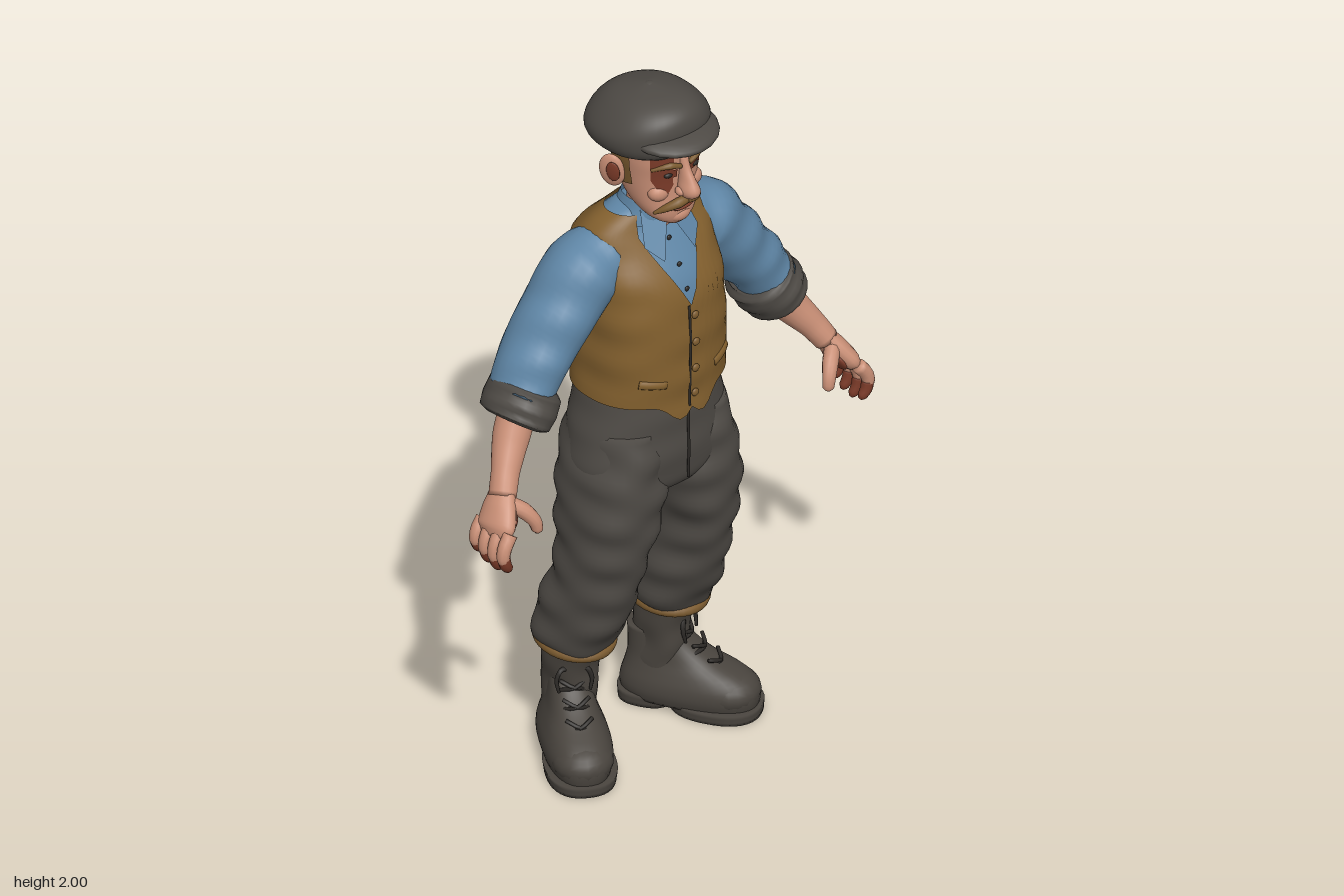
import * as THREE from 'three';
import { mergeVertices } from 'three/addons/utils/BufferGeometryUtils.js';

const mat = (name, color, double) => {
  const m = new THREE.MeshStandardMaterial({ color, side: double ? THREE.DoubleSide : THREE.FrontSide });
  m.name = name;
  return m;
};
const M = {
  skin: mat('skin', 0xc98f76), ruddy: mat('ruddy skin', 0x7a3a28, true),
  vest: mat('mustard wool', 0x83602e, true), shirt: mat('blue cotton', 0x5f86a6, true),
  cloth: mat('charcoal cloth', 0x4e4a45), boot: mat('boot leather', 0x49443e),
  dark: mat('dark trim', 0x2c2926), hair: mat('brown hair', 0x7d5c30, true),
};

// Smooth interpolation of sections [y, rx, rz, cz, cx] at height y
function at(S, y) {
  let k = 0;
  while (k < S.length - 2 && y > S[k + 1][0]) k++;
  const slope = (i, c) => {
    const a = S[Math.max(i - 1, 0)], b = S[Math.min(i + 1, S.length - 1)];
    return (b[c] - a[c]) / (b[0] - a[0]);
  };
  const h = S[k + 1][0] - S[k][0], t = THREE.MathUtils.clamp((y - S[k][0]) / h, 0, 1), u = 1 - t;
  return [1, 2, 3, 4].map((c) => S[k].length <= c ? 0 :
    S[k][c] * (1 + 2 * t) * u * u + S[k + 1][c] * (3 - 2 * t) * t * t
    + h * t * u * (slope(k, c) * u - slope(k + 1, c) * t));
}
// Point on a stacked superellipse body; angle 0 is the front
function surf(S, a, y, off = 0, n = 2.3) {
  const [rx, rz, cz, cx] = at(S, y), s = Math.sin(a), c = Math.cos(a);
  const k = (Math.abs(s) ** n + Math.abs(c) ** n) ** (-1 / n);
  return [cx + (Math.max(rx, 0) + off) * s * k, y, cz + (Math.max(rz, 0) + off) * c * k];
}
// Triangulate rows of points into one smooth surface
function grid(rows) {
  const w = rows[0].length, idx = [];
  for (let i = 0; i < rows.length - 1; i++) for (let j = 0; j < w - 1; j++) {
    const a = i * w + j, b = a + 1, c = a + w, d = c + 1;
    idx.push(a, b, d, a, d, c);
  }
  let g = new THREE.BufferGeometry();
  g.setAttribute('position', new THREE.Float32BufferAttribute(rows.flat(2), 3));
  g.setIndex(idx);
  g = mergeVertices(g, 1e-5);
  g.computeVertexNormals();
  return g;
}
const val = (f, a) => (typeof f === 'function' ? f(a) : f);
// Vertical body, or an open patch of one
function sheet(S, o = {}) {
  const { a0 = -Math.PI, a1 = Math.PI, lo = S[0][0], hi = S[S.length - 1][0], off = 0, n = 2.3,
    cols = 40, count = 28, wob = 0, cap = true } = o;
  const rows = [];
  for (let i = 0; i <= count; i++) {
    const row = [];
    for (let j = 0; j <= cols; j++) {
      const a = a0 + (a1 - a0) * j / cols, y = val(lo, a) + (val(hi, a) - val(lo, a)) * i / count;
      const fold = wob * (Math.sin(3 * a + y * 31) * Math.sin(y * 19 - a) + 0.5 * Math.sin(2 * a - y * 57));
      row.push(surf(S, a, y, off + fold, n));
    }
    rows.push(row);
  }
  if (cap) for (const top of [false, true]) {
    const s = S[top ? S.length - 1 : 0], row = Array(cols + 1).fill([s[4] ?? 0, s[0], s[3]]);
    top ? rows.push(row) : rows.unshift(row);
  }
  return grid(rows);
}
// Round limb along points [x, y, z, radius, depthRadius]
function limb(P, steps = 16, sides = 18, wob = 0) {
  const curve = new THREE.CatmullRomCurve3(P.map((p) => new THREE.Vector3(p[0], p[1], p[2])));
  const Z = new THREE.Vector3(0, 0, 1), rows = [];
  for (let i = 0; i <= steps; i++) {
    const t = i / steps, f = t * (P.length - 1), k = Math.min(Math.floor(f), P.length - 2);
    const C = curve.getPoint(t), T = curve.getTangent(t);
    const N = new THREE.Vector3().crossVectors(Z, T).normalize(), B = new THREE.Vector3().crossVectors(T, N);
    const mix = (c) => THREE.MathUtils.lerp(P[k][c] ?? P[k][3], P[k + 1][c] ?? P[k + 1][3], f - k);
    const row = [];
    for (let j = 0; j <= sides; j++) {
      const a = (j % sides) / sides * Math.PI * 2, w = wob * Math.sin(t * 24 + 2 * Math.sin(a)) * Math.sin(a + 1);
      row.push(C.clone().addScaledVector(N, Math.cos(a) * (mix(3) + w)).addScaledVector(B, Math.sin(a) * (mix(4) + w)).toArray());
    }
    if (i === 0) rows.push(Array(sides + 1).fill(C.toArray()));
    rows.push(row);
    if (i === steps) rows.push(Array(sides + 1).fill(C.toArray()));
  }
  return grid(rows);
}
const ball = (x, y, z, rx, ry, rz) => new THREE.SphereGeometry(1, 20, 14).scale(rx, ry, rz).translate(x, y, z);

function mirrored(g) {
  const m = g.clone().scale(-1, 1, 1), ix = m.index.array;
  for (let i = 0; i < ix.length; i += 3) [ix[i], ix[i + 1]] = [ix[i + 1], ix[i]];
  return m;
}

export function createModel() {
  const root = new THREE.Group();
  const add = (name, g, m) => {
    const mesh = new THREE.Mesh(g, m);
    mesh.name = name;
    root.add(mesh);
  };
  const pair = (name, g, m) => { add(name + 'Left', g, m); add(name + 'Right', mirrored(g), m); };

  // Shirt body and waistcoat with a V neck and pointed hem
  const torso = [[1.06, .193, .163, .017], [1.2, .193, .17, .014], [1.33, .19, .175, .01], [1.45, .187, .165, .004],
    [1.55, .182, .126, -.016], [1.6, .162, .088, -.012], [1.63, .125, .072, 0], [1.655, .08, .06, .01]];
  add('shirtBody', sheet(torso, { off: -.008, lo: 1.14 }), M.shirt);
  add('waistcoat', sheet(torso, {
    cols: 64, n: 2.4, wob: .003, cap: false, off: .003,
    lo: (a) => 1.125 - .055 * Math.exp(-((Math.abs(a) - .17) ** 2) / .05),
    hi: (a) => Math.min(1.64, 1.4 + .38 * Math.abs(a)),
  }), M.vest);
  for (const y of [1.37, 1.29, 1.21, 1.135]) {
    const p = surf(torso, .04, y, .006);
    add('waistcoatButton', ball(p[0], y, p[2], .011, .011, .006), M.hair);
  }
  const seam = [1.1, 1.18, 1.26, 1.34, 1.4].map((y) => [...surf(torso, -.04, y, .003), .0035]);
  add('waistcoatSeam', limb(seam, 14, 6), M.dark);
  const welt = [.4, .52, .64, .76].map((a, i) => [...surf(torso, a, 1.19 + i * .004, .004, 2.4), .012, .006]);
  pair('waistcoatPocket', limb(welt, 8, 8), M.vest);

  // Shirt collar and front buttons
  add('collarBand', sheet([[1.61, .098, .08, .012], [1.645, .08, .074, .018], [1.675, .07, .066, .022]], { cap: false }), M.shirt);
  const flap = grid([[[.006, 1.625, .096], [.05, 1.53, .14]], [[.062, 1.668, .055], [.088, 1.57, .105]]]);
  pair('collarFlap', flap, M.shirt);
  for (const y of [1.44, 1.5, 1.56]) {
    const p = surf(torso, 0, y, -.006);
    add('shirtButton', ball(0, y, p[2], .007, .007, .004), M.dark);
  }

  // Sleeves, rolled cuffs and forearms
  pair('sleeve', limb([[.12, 1.515, -.01, .085, .09], [.19, 1.49, -.012, .1, .105], [.27, 1.4, -.015, .092, .102],
    [.345, 1.305, -.015, .085, .098], [.41, 1.215, -.003, .076, .088]], 28, 24, .005), M.shirt);
  pair('sleeveCuff', limb([[.375, 1.24, -.006, .07, .08], [.385, 1.225, -.005, .088, .1], [.41, 1.19, 0, .09, .106],
    [.432, 1.16, .004, .085, .1], [.438, 1.152, .005, .066, .075], [.43, 1.163, .004, .05, .05]].slice(0, 5), 16, 24, .004), M.cloth);
  pair('forearm', limb([[.41, 1.2, .003, .05], [.455, 1.125, .02, .049], [.505, 1.055, .055, .037], [.535, 1.005, .078, .033, .038]]), M.skin);

  // Hands with curled fingers
  pair('palm', limb([[.525, 1.025, .07, .025, .033], [.55, .985, .085, .031, .05], [.575, .945, .1, .03, .062], [.587, .922, .104, .016, .05]]), M.skin);
  pair('palmInside', ball(0, 0, 0, .012, .038, .045).rotateZ(.5).translate(.545, .952, .098), M.ruddy);
  for (let i = 0; i < 4; i++) {
    const z = .05 + i * .035, len = [.85, 1, 1.05, .95][i];
    const y = (d) => .945 - d * len;
    pair('finger', limb([[.575, y(0), z, .019], [.597, y(.03), z + .004, .019], [.604, y(.06), z + .006, .017], [.601, y(.072), z + .006, .014]], 8, 10), M.skin);
    pair('fingertip', limb([[.603, y(.052), z + .006, .0165], [.598, y(.08), z + .006, .0165], [.585, y(.1), z + .004, .013], [.579, y(.107), z + .003, .005]], 8, 10), M.ruddy);
  }
  pair('thumb', limb([[.54, 1.0, .1, .02], [.508, .975, .128, .021], [.488, .945, .146, .018], [.482, .918, .15, .015], [.483, .908, .15, .005]], 12, 12), M.skin);

  // Trousers: seat and baggy legs with turned-up hems
  add('trouserSeat', sheet([[.815, .08, .08, .015], [.84, .17, .125, .015], [.9, .226, .15, .012], [1, .214, .158, .008], [1.15, .182, .15, .01]],
    { wob: .002 }), M.cloth);
  pair('trouserLeg', sheet([[.315, .08, .09, -.085, .155], [.34, .098, .108, -.083, .155], [.4, .106, .122, -.066, .152],
    [.47, .106, .133, -.043, .15], [.55, .1, .123, -.01, .15], [.65, .1, .132, .01, .146], [.8, .118, .148, .018, .126],
    [.92, .112, .152, .012, .116], [1.03, .09, .14, .01, .11]], { wob: .006, n: 2.2, count: 44 }), M.cloth);
  add('trouserFly', limb([[.004, .87, .166, .004], [.004, .95, .168, .004], [.004, 1.07, .166, .004]], 8, 6), M.dark);
  const hem = new THREE.TorusGeometry(1, .15, 10, 32).rotateX(Math.PI / 2).scale(.09, .11, .1)
    .rotateX(.1).translate(.155, .336, -.086);
  pair('trouserHem', hem, M.hair);

  // Boots: turned-out feet with separate sole and heel
  const foot = (g) => g.rotateY(.52).translate(.143, 0, -.128);
  pair('bootShaft', sheet([[.06, .062, .075, -.118, .148], [.15, .06, .075, -.112, .15], [.24, .06, .077, -.106, .152], [.34, .07, .08, -.095, .155]],
    { wob: .003 }), M.boot);
  pair('bootFoot', foot(sheet([[.022, .08, .178, .098], [.05, .088, .183, .098], [.08, .086, .178, .098], [.11, .075, .156, .085],
    [.14, .063, .12, .055], [.175, .056, .092, .028], [.22, .052, .07, .004]], { n: 2.5, count: 20 })), M.boot);
  pair('bootToecap', foot(ball(0, .062, .2, .079, .056, .083)), M.boot);
  pair('bootSole', foot(sheet([[0, .088, .118, .168], [.03, .092, .12, .168]], { n: 2.4, count: 3 })), M.boot);
  pair('bootHeel', foot(sheet([[0, .07, .075, -.012], [.035, .074, .077, -.012]], { n: 2.6, count: 3 })), M.boot);
  for (let i = 0; i < 4; i++) {
    const y = .14 + i * .035, z = [.177, .135, .1, .085][i];
    for (const s of [-1, 1]) pair('bootLace', foot(limb([[-.034, y - s * .014, z - .018, .0055], [0, y, z + .002, .0055], [.034, y + s * .014, z - .018, .0055]], 6, 6)), M.dark);
  }
  for (const s of [-1, 1]) pair('laceBow', foot(limb([[0, .25, .08, .006], [s * .03, .262, .09, .007], [s * .045, .235, .095, .006], [s * .04, .2, .1, .004]], 10, 6)), M.dark);

  // Head and face
  const head = [[1.632, .03, .026, .115], [1.65, .06, .052, .098], [1.68, .08, .077, .077], [1.72, .092, .092, .058],
    [1.78, .1, .1, .049], [1.83, .105, .108, .046], [1.9, .1, .1, .045], [1.95, .06, .06, .04]];
  add('neck', sheet([[1.58, .065, .06, .018], [1.65, .06, .056, .026], [1.73, .065, .062, .03]]), M.skin);
  add('head', sheet(head), M.skin);
  add('chin', ball(0, 1.658, .132, .036, .024, .026), M.skin);
  add('nose', sheet([[1.722, .008, .012, .172], [1.733, .021, .03, .173], [1.75, .024, .035, .174], [1.775, .017, .029, .166],
    [1.805, .013, .018, .157], [1.84, .012, .012, .15]], { n: 2, cols: 20, count: 16 }), M.skin);
  pair('nostril', ball(.02, 1.743, .163, .012, .012, .016), M.skin);
  pair('cheek', ball(.052, 1.735, .118, .032, .026, .026), M.skin);
  const side = { cap: false, cols: 10, count: 6, off: .003 };
  pair('eyeSocket', sheet(head, { ...side, a0: .2, a1: .66, lo: 1.782, hi: 1.806 }), M.ruddy);
  add('flushedBrow', sheet(head, { ...side, a0: -.85, a1: -.3, lo: (a) => 1.765 + .03 * Math.cos(a * 6), hi: 1.845, off: .002 }), M.ruddy);
  pair('eye', ball(.043, 1.792, .143, .013, .008, .009), M.dark);
  pair('eyebrow', limb([[.014, 1.815, .16, .006], [.045, 1.824, .152, .009], [.082, 1.812, .122, .005]], 10, 8), M.hair);
  pair('moustache', limb([[0, 1.712, .164, .012], [.025, 1.708, .161, .014], [.052, 1.695, .144, .01], [.072, 1.678, .122, .004]], 12, 10), M.hair);
  add('mouth', ball(0, 1.684, .15, .032, .007, .011), M.ruddy);
  pair('ear', ball(0, 0, 0, .014, .05, .034).rotateY(-.55).rotateZ(-.12).translate(.122, 1.78, .02), M.skin);
  pair('earHollow', ball(0, 0, 0, .006, .03, .018).rotateY(-.55).rotateZ(-.12).translate(.131, 1.785, .034), M.ruddy);
  add('hair', sheet(head, { cap: false, a0: 1.35, a1: 2 * Math.PI - 1.35, off: .006, hi: 1.88,
    lo: (a) => 1.755 - .035 * Math.sin((a - 1.35) / (2 * Math.PI - 2.7) * Math.PI) }), M.hair);

  // Flat cap: full crown tipped back over a short peak
  const tilt = (g) => g.translate(0, -1.88, 0).rotateX(-.11).translate(-.006, 1.88, 0);
  add('capCrown', tilt(sheet([[1.832, .108, .112, .04], [1.845, .136, .14, .025], [1.875, .15, .16, .02], [1.915, .143, .158, .027],
    [1.955, .113, .13, .035], [1.98, .07, .085, .035], [1.994, .012, .015, .035]], { n: 2.1, wob: .0025 })), M.cloth);
  add('capPeak', ball(0, 0, 0, .122, .03, .115).rotateX(.08).translate(-.002, 1.899, .113), M.cloth);
  add('capButton', ball(-.006, 1.993, .03, .014, .007, .014), M.cloth);
  return root;
}
